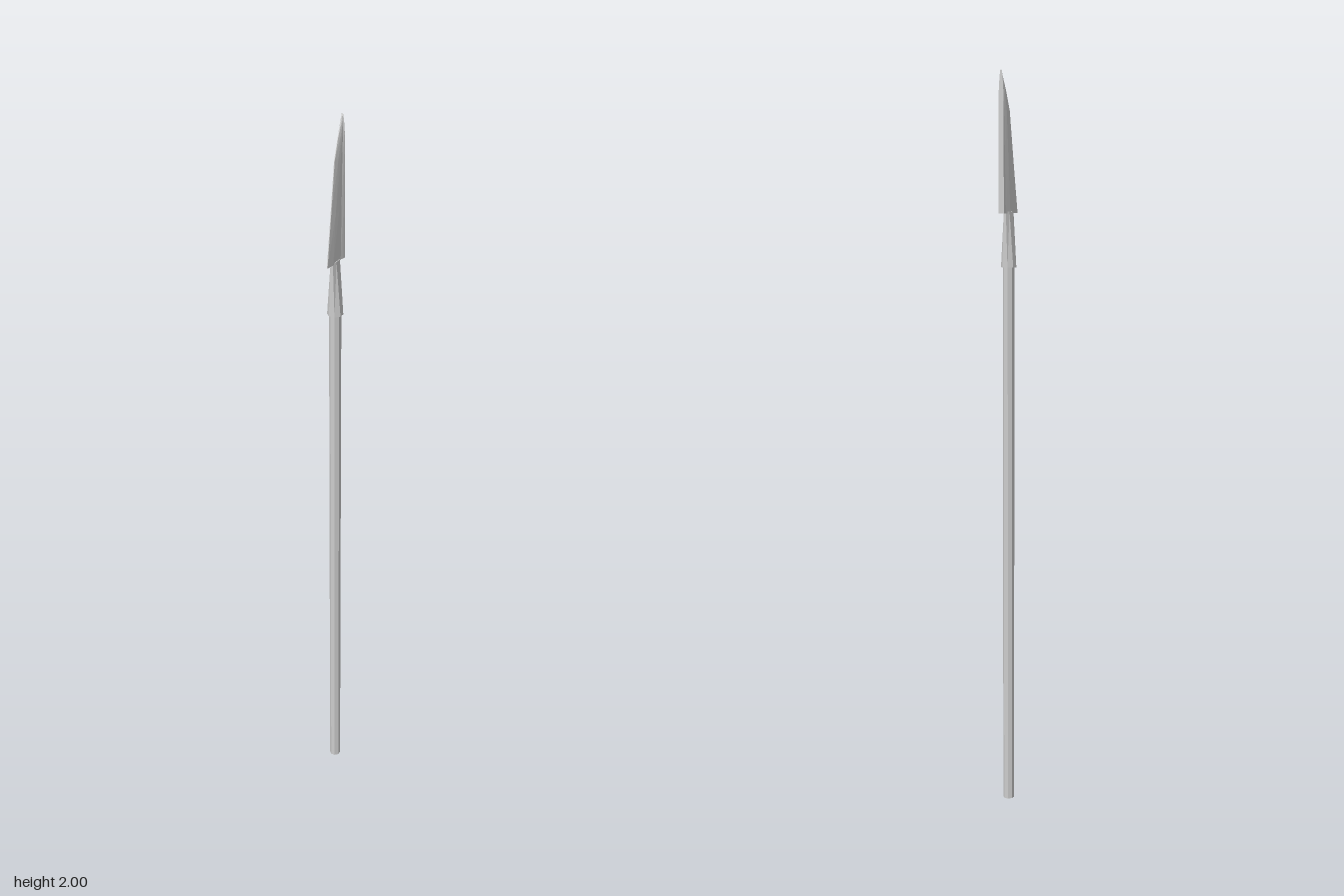
import * as THREE from 'three';

const AXIS_Z = -0.003; // the shaft sits slightly behind the centre

function material(flat) {
  return new THREE.MeshStandardMaterial({ color: 0xcccccc, flatShading: flat, side: THREE.DoubleSide });
}

function addMesh(group, name, geometry, flat = true) {
  const mesh = new THREE.Mesh(geometry, material(flat));
  mesh.name = name;
  group.add(mesh);
  return mesh;
}

// Octagonal prism with a flat side towards each axis
function octagon(radiusTop, radiusBottom, height) {
  return new THREE.CylinderGeometry(radiusTop, radiusBottom, height, 8).rotateY(Math.PI / 8);
}

// Single-edged blade lofted from cross-sections
function bladeGeometry() {
  const back = -0.04;
  // [height, z of the cutting edge, thickness scale]
  const levels = [
    [1.64, 0.04, 1], [1.77, 0.02, 1], [1.9, 0.001, 0.95],
    [1.95, -0.017, 0.85], [1.985, -0.033, 0.55], [2.0, -0.039, 0.25],
  ];
  // [fraction from spine to edge, half thickness]: lip, groove, bulge, edge
  const side = [[0, 0.008], [0.08, 0.007], [0.2, 0.0045], [0.45, 0.006], [0.7, 0.0045], [1, 0.001]];
  const section = [...side.map(([t, w]) => [t, w]), ...side.slice().reverse().map(([t, w]) => [t, -w])];
  const n = section.length;
  const positions = [];
  const indices = [];
  for (const [y, edge, scale] of levels) {
    for (const [t, w] of section) positions.push(w * scale, y, back + (edge - back) * t);
  }
  for (let i = 0; i < levels.length - 1; i++) {
    for (let j = 0; j < n; j++) {
      const a = i * n + j, b = i * n + (j + 1) % n;
      indices.push(a, a + n, b, b, a + n, b + n);
    }
  }
  // Close the base and the tip with strips between the two sides
  const top = (levels.length - 1) * n;
  for (let j = 0; j < n / 2 - 1; j++) {
    const a = j, b = j + 1, c = n - 2 - j, d = n - 1 - j;
    indices.push(a, b, c, a, c, d);
    indices.push(top + a, top + c, top + b, top + a, top + d, top + c);
  }
  const geometry = new THREE.BufferGeometry();
  geometry.setAttribute('position', new THREE.Float32BufferAttribute(positions, 3));
  geometry.setIndex(indices);
  geometry.computeVertexNormals();
  return geometry;
}

export function createModel() {
  const group = new THREE.Group();
  group.name = 'spear';

  // Long pole
  addMesh(group, 'shaft', octagon(0.0155, 0.0155, 1.51)).position.set(0, 0.755, AXIS_Z);

  // Socket, pinched sideways towards the blade but equally deep throughout
  const socket = octagon(0.0205, 0.0205, 0.145);
  const p = socket.attributes.position;
  for (let i = 0; i < p.count; i++) if (p.getY(i) > 0) p.setX(i, p.getX(i) * 0.4);
  socket.computeVertexNormals();
  addMesh(group, 'socket', socket).position.set(0, 1.5725, AXIS_Z);

  // Blade with a thick spine at the back
  addMesh(group, 'blade', bladeGeometry());

  return group;
}
